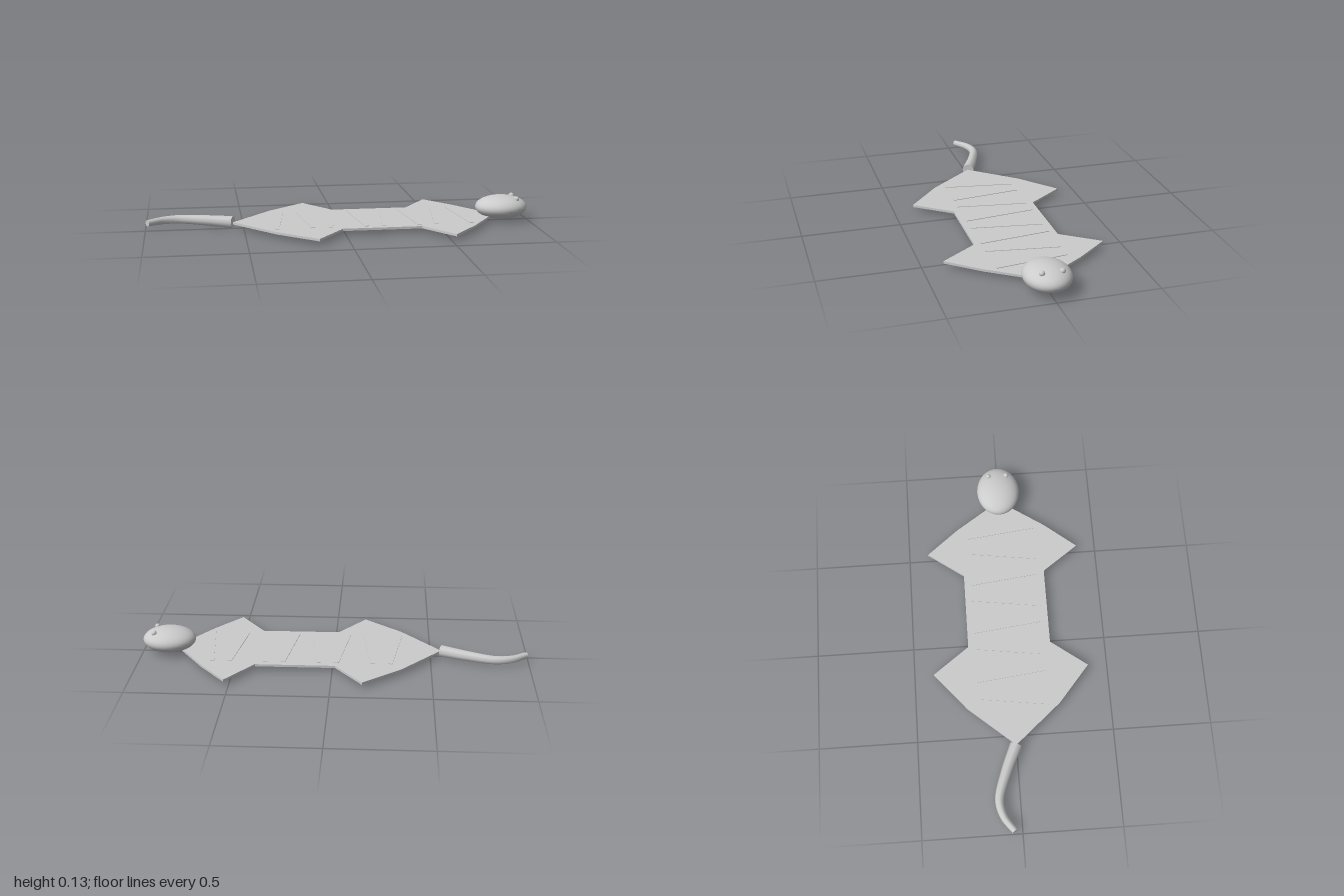
import * as THREE from 'three';

const material = new THREE.MeshStandardMaterial({ color: 0xcccccc });

function add(parent, name, geometry, x = 0, y = 0, z = 0) {
  const mesh = new THREE.Mesh(geometry, material);
  mesh.name = name;
  mesh.position.set(x, y, z);
  parent.add(mesh);
  return mesh;
}

// Flat pelt: half outline from neck to tail, mirrored across the spine
function hideGeometry() {
  const half = [
    [0.82, 0], [0.66, 0.235], [0.525, 0.4], [0.39, 0.214],
    [-0.015, 0.214], [-0.155, 0.4], [-0.35, 0.237], [-0.555, 0],
  ];
  const mirrored = half.slice(1, -1).reverse().map(([x, z]) => [x, -z]);
  const shape = new THREE.Shape([...half, ...mirrored].map(([x, z]) => new THREE.Vector2(x, z)));
  return new THREE.ExtrudeGeometry(shape, { depth: 0.012, bevelEnabled: false })
    .rotateX(-Math.PI / 2);
}

// Tapered tube along a curve, with a flat cap on each end
function addTail(parent) {
  const rootRadius = 0.032, tipRadius = 0.017, steps = 24, sides = 8;
  const curve = new THREE.CatmullRomCurve3([
    [-0.555, -0.003], [-0.69, -0.062], [-0.83, -0.105], [-0.915, -0.088], [-0.99, -0.037],
  ].map(([x, z]) => new THREE.Vector3(x, 0.036, z)));
  const geometry = new THREE.TubeGeometry(curve, steps, 1, sides);
  const position = geometry.attributes.position;
  const p = new THREE.Vector3();
  for (let i = 0; i < position.count; i++) {
    const t = Math.floor(i / (sides + 1)) / steps;
    const centre = curve.getPointAt(t);
    p.fromBufferAttribute(position, i).sub(centre)
      .multiplyScalar(THREE.MathUtils.lerp(rootRadius, tipRadius, t)).add(centre);
    position.setXYZ(i, p.x, p.y, p.z);
  }
  const tail = new THREE.Group();
  tail.name = 'tail';
  parent.add(tail);
  add(tail, 'tailTube', geometry);
  for (const [name, t, radius, sign] of [['tailRootCap', 0, rootRadius, -1], ['tailTipCap', 1, tipRadius, 1]]) {
    const c = curve.getPointAt(t);
    const cap = add(tail, name, new THREE.CircleGeometry(radius, sides), c.x, c.y, c.z);
    cap.lookAt(c.clone().addScaledVector(curve.getTangentAt(t), sign));
  }
}

export function createModel() {
  const rug = new THREE.Group();
  rug.name = 'animalRug';

  add(rug, 'hide', hideGeometry(), 0, 0.024, 0);

  // Raised stripes, leaning alternately
  for (let i = 0; i < 8; i++) {
    const stripe = add(rug, 'stripe', new THREE.BoxGeometry(0.022, 0.006, 0.365), -0.318 + i * 0.136, 0.036, 0);
    stripe.rotation.y = i % 2 ? 0.12 : -0.14;
  }

  // Flattened head with two eyes
  add(rug, 'head', new THREE.SphereGeometry(1, 32, 20).scale(0.137, 0.062, 0.114), 0.86, 0.075, 0);
  for (const side of [-1, 1]) {
    add(rug, 'eye', new THREE.SphereGeometry(0.014, 14, 10), 0.93, 0.123, side * 0.048);
  }

  addTail(rug);
  return rug;
}
